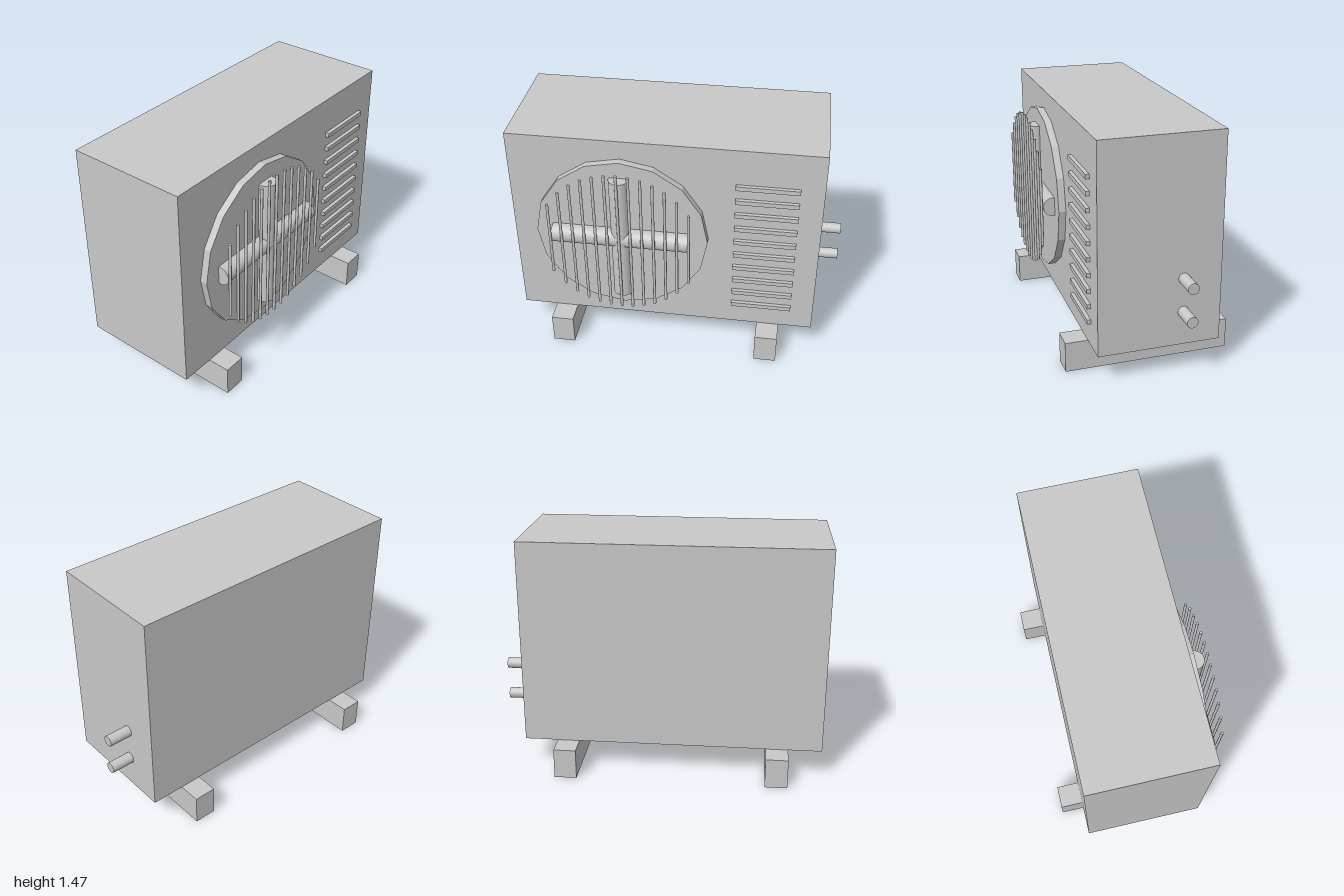
import * as THREE from 'three';

export function createModel() {
  const group = new THREE.Group();
  const grey = new THREE.MeshStandardMaterial({ color: 0xc8c8c8 });
  grey.name = 'grey';
  const flatGrey = grey.clone();
  flatGrey.flatShading = true;

  const add = (name, geometry, x, y, z, material = grey) => {
    const mesh = new THREE.Mesh(geometry, material);
    mesh.name = name;
    mesh.position.set(x, y, z);
    group.add(mesh);
    return mesh;
  };

  // Casing
  add('casing', new THREE.BoxGeometry(1.855, 1.277, 0.742), -0.0725, 0.8265, 0.001);

  // Feet running front to back
  for (const x of [-0.723, 0.58]) {
    add('foot', new THREE.BoxGeometry(0.138, 0.188, 1.02), x, 0.094, 0);
  }

  // Sixteen-sided fan plate
  const fanX = -0.328, fanY = 0.829;
  add('fanPlate', new THREE.CylinderGeometry(0.521, 0.521, 0.044, 16), fanX, fanY, 0.395, flatGrey)
    .rotation.x = Math.PI / 2;

  // Crossed fan blades
  const blade = new THREE.CylinderGeometry(0.059, 0.059, 0.834, 32);
  add('fanBladeVertical', blade, fanX, fanY, 0.429);
  add('fanBladeHorizontal', blade, fanX, fanY, 0.429).rotation.z = Math.PI / 2;

  // Guard bars, trimmed to a circle
  for (let i = -6; i <= 6; i++) {
    const dx = i * 0.0696;
    const length = 2 * Math.sqrt(0.487 ** 2 - dx ** 2);
    add('guardBar', new THREE.CylinderGeometry(0.009, 0.009, length, 8), fanX + dx, fanY, 0.5);
  }

  // Raised vent slats
  for (let i = 0; i < 10; i++) {
    add('ventSlat', new THREE.BoxGeometry(0.371, 0.028, 0.03), 0.531, 0.343 + i * 0.0978, 0.38);
  }

  // Pipe stubs on the side
  for (const y of [0.398, 0.607]) {
    add('pipe', new THREE.CylinderGeometry(0.034, 0.034, 0.165, 24), 0.9175, y, -0.14)
      .rotation.z = Math.PI / 2;
  }

  return group;
}
